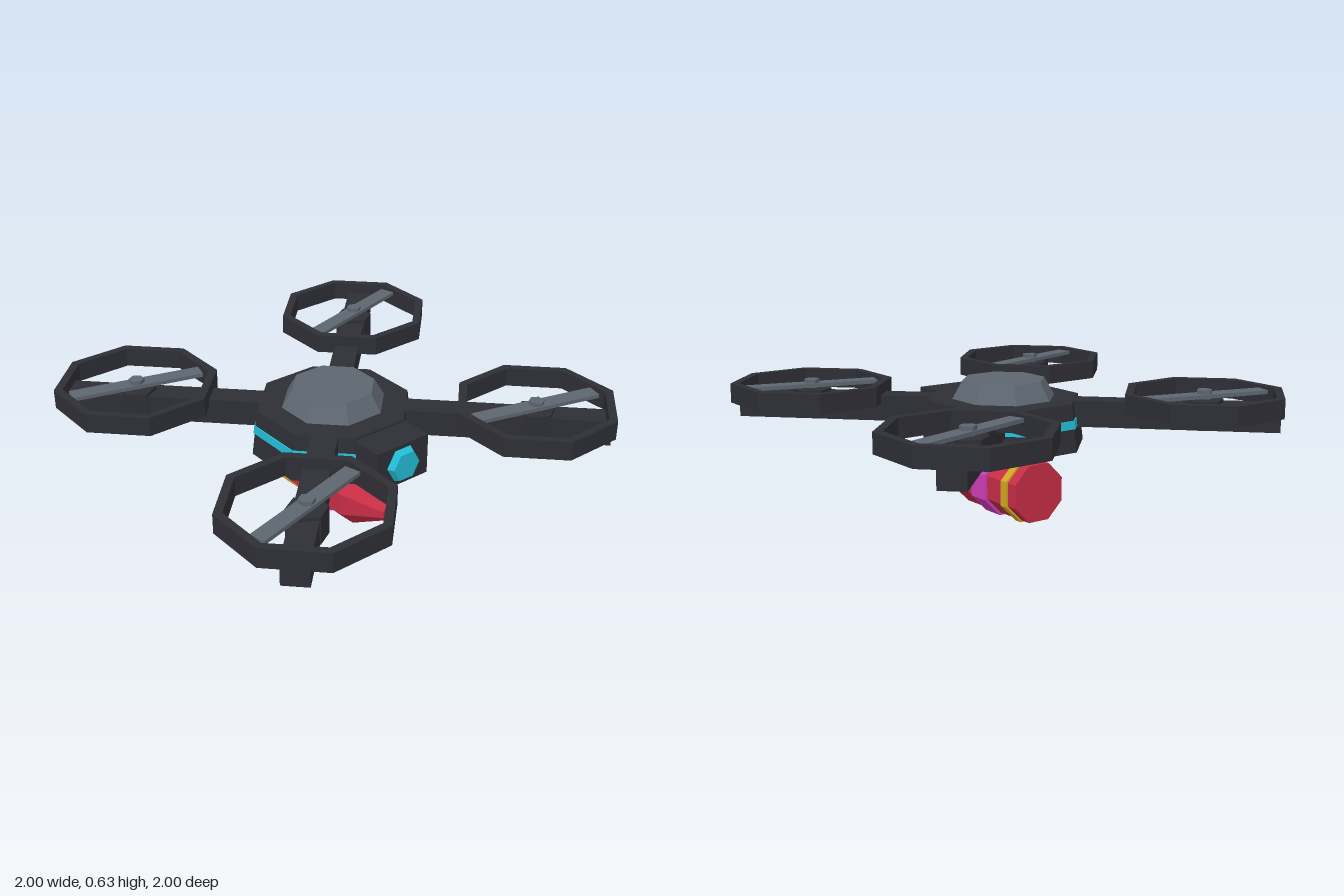
import * as THREE from 'three';

const paint = (name, color) => {
  const m = new THREE.MeshStandardMaterial({ color, flatShading: true });
  m.name = name;
  return m;
};

export function createModel() {
  const dark = paint('charcoal', 0x2e2e36);
  const gray = paint('slate gray', 0x5d6670);
  const cyan = paint('cyan', 0x22bcd6);
  const red = paint('red', 0xc62d45);
  const magenta = paint('magenta', 0xd03cba);
  const yellow = paint('yellow', 0xd2a820);

  const model = new THREE.Group();
  model.name = 'quadcopter';

  const add = (parent, name, geometry, material, x = 0, y = 0, z = 0) => {
    const mesh = new THREE.Mesh(geometry, material);
    mesh.name = name;
    mesh.position.set(x, y, z);
    parent.add(mesh);
    return mesh;
  };

  // Eight-sided prism with flat sides on the axes, sized by its half widths
  const K = Math.cos(Math.PI / 8);
  const octagon = (top, bottom, height) =>
    new THREE.CylinderGeometry(top / K, bottom / K, height, 8, 1, false, Math.PI / 8);

  // Hull
  add(model, 'hull', octagon(0.332, 0.357, 0.22), dark, 0, 0.44, 0);
  add(model, 'lightBand', octagon(0.346, 0.35, 0.038), cyan, 0, 0.456, 0);
  add(model, 'dome', octagon(0.18, 0.225, 0.085), gray, 0, 0.5925, 0);

  // Camera housing and lens
  add(model, 'cameraHousing', new THREE.BoxGeometry(0.294, 0.195, 0.235), dark, 0, 0.4425, 0.3675);
  const lens = new THREE.CylinderGeometry(0.072, 0.09, 0.035, 6, 1, false, Math.PI / 2);
  add(model, 'lens', lens.rotateX(Math.PI / 2), cyan, 0, 0.445, 0.4975);

  // Slung payload, pointing forward
  add(model, 'payloadMount', new THREE.BoxGeometry(0.126, 0.11, 0.29), dark, 0, 0.295, 0);
  const payload = new THREE.Group();
  payload.name = 'payload';
  payload.position.y = 0.145;
  model.add(payload);
  const section = (name, material, front, back, z0, z1) =>
    add(payload, name, octagon(front, back, z1 - z0).rotateX(Math.PI / 2), material, 0, 0, (z0 + z1) / 2);
  section('payloadBody', red, 0.133, 0.133, -0.27, 0.215);
  section('payloadNose', red, 0.036, 0.133, 0.215, 0.405);
  section('payloadWideBand', magenta, 0.145, 0.145, -0.053, 0.058);
  section('payloadNarrowBand', yellow, 0.142, 0.142, -0.213, -0.17);

  // Octagonal rotor guard ring
  const ringPoints = (a) => Array.from({ length: 8 }, (_, i) => {
    const t = (i + 0.5) * Math.PI / 4;
    return new THREE.Vector2(Math.cos(t) * a / K, Math.sin(t) * a / K);
  });
  const ring = new THREE.Shape(ringPoints(0.35));
  ring.holes.push(new THREE.Path(ringPoints(0.313).reverse()));
  const guardGeo = new THREE.ExtrudeGeometry(ring, { depth: 0.09, bevelEnabled: false });
  guardGeo.rotateX(-Math.PI / 2);

  const armGeo = new THREE.BoxGeometry(0.118, 0.12, 1.06);
  const motorGeo = new THREE.CylinderGeometry(0.09, 0.09, 0.13, 6);
  const bladeGeo = new THREE.BoxGeometry(0.62, 0.018, 0.076);
  const hubGeo = new THREE.CylinderGeometry(0.036, 0.036, 0.04, 6);

  // Four arms, each with a motor, propeller and guard
  for (const sx of [-1, 1]) {
    for (const sz of [-1, 1]) {
      const unit = new THREE.Group();
      unit.name = (sz > 0 ? 'front' : 'back') + (sx > 0 ? 'Left' : 'Right') + 'Rotor';
      model.add(unit);
      const x = sx * 0.65, z = sz * 0.65, mid = 0.73 * Math.SQRT1_2;
      const arm = add(unit, 'arm', armGeo, dark, sx * mid, 0.49, sz * mid);
      arm.rotation.y = Math.atan2(sx, sz);
      add(unit, 'motor', motorGeo, dark, x, 0.5, z);
      add(unit, 'guard', guardGeo, dark, x, 0.512, z);
      const blade = add(unit, 'propeller', bladeGeo, gray, x, 0.582, z);
      blade.rotation.y = -sx * sz * Math.PI / 12;
      add(unit, 'propellerHub', hubGeo, gray, x, 0.589, z);
    }
  }

  return model;
}
